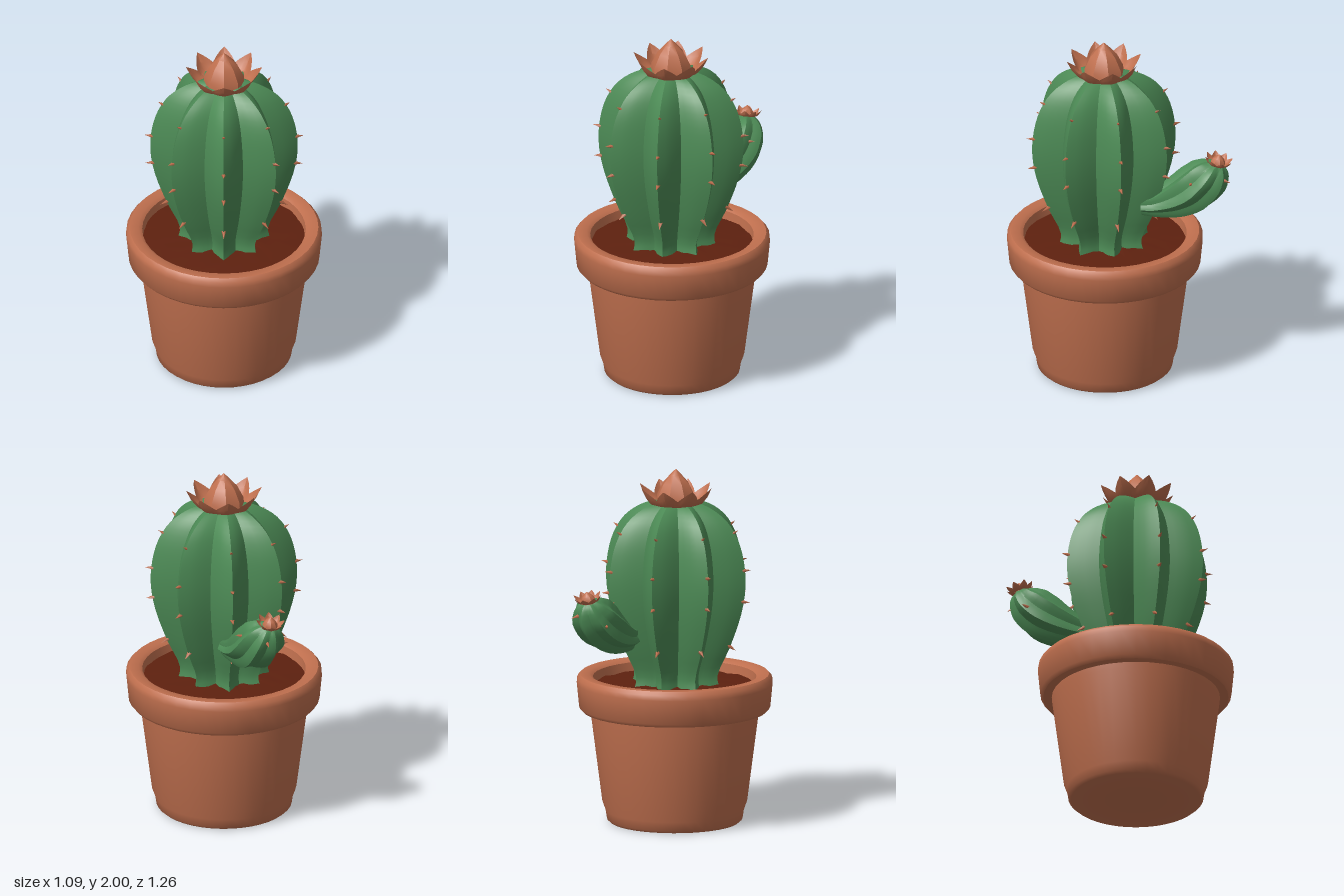
import * as THREE from 'three';
import { toCreasedNormals } from 'three/addons/utils/BufferGeometryUtils.js';

const V = (x, y, z) => new THREE.Vector3(x, y, z);
const CENTRE_Z = 0.083;

// Skin a surface over closed rings of points, ordered from bottom to top
function loft(rings, crease = 0.6) {
  const n = rings[0].length, index = [];
  for (let i = 0; i < rings.length - 1; i++) {
    for (let j = 0; j < n; j++) {
      const k = (j + 1) % n, a = i * n + j, b = i * n + k, c = b + n, d = a + n;
      index.push(a, b, c, a, c, d);
    }
  }
  const g = new THREE.BufferGeometry().setFromPoints(rings.flat());
  g.setIndex(index);
  return toCreasedNormals(g, crease);
}

// Star-shaped section factor: 1 on a rib edge, `valley` in a groove
function ribFactor(j, perRib, valley) {
  const t = Math.abs(1 - 2 * (j % perRib) / perRib);
  return valley + (1 - valley) * Math.pow(t, 1.2);
}

// Ribbed stem that follows a path with a radius at each path point
function ribbedStem(path, radii, ribs, valley) {
  const perRib = 8, n = ribs * perRib;
  const rings = path.map((p, i) => {
    const next = path[Math.min(i + 1, path.length - 1)], prev = path[Math.max(i - 1, 0)];
    const tangent = next.clone().sub(prev).normalize();
    const side = V(1, 0, 0).addScaledVector(tangent, -tangent.x).normalize();
    const front = side.clone().cross(tangent);
    return Array.from({ length: n }, (_, j) => {
      const a = j / n * Math.PI * 2, r = radii[i] * ribFactor(j, perRib, valley);
      return p.clone().addScaledVector(side, Math.sin(a) * r).addScaledVector(front, Math.cos(a) * r);
    });
  });
  return loft(rings);
}

export function createModel() {
  const model = new THREE.Group();
  model.name = 'pottedCactus';
  const terracotta = new THREE.MeshStandardMaterial({ name: 'terracotta', color: 0xbf6f4e, side: THREE.DoubleSide });
  const green = new THREE.MeshStandardMaterial({ name: 'cactusGreen', color: 0x4c8a55 });
  const earth = new THREE.MeshStandardMaterial({ name: 'soil', color: 0x5e210f });

  function add(name, geometry, material, parent = model) {
    const mesh = new THREE.Mesh(geometry, material);
    mesh.name = name;
    parent.add(mesh);
    return mesh;
  }

  // Pot: tapered body, thick rim and inner wall
  const potProfile = [
    [0, 0.005], [0.36, 0.005], [0.377, 0.02], [0.385, 0.07], [0.403, 0.12], [0.465, 0.6], [0.468, 0.635],
    [0.515, 0.635], [0.532, 0.655], [0.545, 0.79], [0.543, 0.82], [0.525, 0.84], [0.475, 0.84],
    [0.455, 0.825], [0.445, 0.74],
  ].map(([r, y]) => new THREE.Vector2(r, y));
  add('pot', toCreasedNormals(new THREE.LatheGeometry(potProfile, 40), 0.75), terracotta).position.z = CENTRE_Z;

  // Soil: gently uneven disc
  const soilRings = [0.46, 0.38, 0.28, 0.15, 0].map((r, i) => Array.from({ length: 32 }, (_, j) => {
    const a = j / 32 * Math.PI * 2;
    return V(Math.sin(a) * r, 0.775 + 0.006 * i + (r ? 0.006 * Math.sin(j * 2.4 + i * 1.7) : 0), Math.cos(a) * r);
  }));
  add('soil', loft(soilRings), earth).position.z = CENTRE_Z;

  // Cactus body: eight sharp ribs
  const cactus = new THREE.Group();
  cactus.name = 'cactus';
  cactus.position.z = CENTRE_Z + 0.007;
  model.add(cactus);
  const profile = new THREE.CatmullRomCurve3([
    [0.26, 0.76], [0.245, 0.84], [0.315, 1.0], [0.385, 1.2], [0.41, 1.36], [0.4, 1.5], [0.365, 1.62],
    [0.3, 1.72], [0.2, 1.79], [0.1, 1.82], [0, 1.82],
  ].map(([r, y]) => V(r, y, 0))).getPoints(30);
  add('cactusBody', ribbedStem(profile.map(p => V(0, p.y, 0)), profile.map(p => Math.max(p.x, 0)), 8, 0.68), green, cactus);

  // Thorns: [height, rib radius, upward tilt]
  const thornShape = new THREE.ConeGeometry(0.014, 0.055, 5);
  function thorn(parent, position, direction) {
    const mesh = add('thorn', thornShape, terracotta, parent);
    mesh.position.copy(position);
    mesh.quaternion.setFromUnitVectors(V(0, 1, 0), direction.normalize());
  }
  for (let rib = 0; rib < 8; rib++) {
    const a = rib * Math.PI / 4, x = Math.sin(a), z = Math.cos(a);
    for (const [y, r, tilt] of [[1.66, 0.345, 0.6], [1.45, 0.415, 0.15], [1.27, 0.41, -0.1], [1.005, 0.33, -0.6]]) {
      thorn(cactus, V(x * r, y, z * r), V(x, tilt, z));
    }
  }

  // Side arm growing from the back
  const arm = [
    [0.02, 1.07, -0.16, 0.06], [-0.03, 1.08, -0.24, 0.085], [-0.08, 1.12, -0.34, 0.12], [-0.12, 1.18, -0.43, 0.138],
    [-0.15, 1.25, -0.495, 0.128], [-0.172, 1.305, -0.53, 0.09], [-0.18, 1.335, -0.543, 0.045], [-0.181, 1.34, -0.545, 0],
  ];
  const armPath = new THREE.CatmullRomCurve3(arm.map(([x, y, z]) => V(x, y, z)));
  const armRadii = new THREE.CatmullRomCurve3(arm.map(p => V(p[3], 0, 0)));
  const steps = Array.from({ length: 22 }, (_, i) => i / 21);
  add('sideArm', ribbedStem(steps.map(t => armPath.getPoint(t)), steps.map(t => Math.max(armRadii.getPoint(t).x, 0)), 7, 0.8), green);
  thorn(model, V(-0.16, 1.25, -0.61), V(-0.1, -0.2, -1));
  thorn(model, V(-0.27, 1.2, -0.47), V(-1, 0.1, -0.3));
  thorn(model, V(-0.02, 1.25, -0.46), V(1, 0.3, -0.3));

  // Flower: cup of eight pointed petals around a bud
  function flower(name, position, scale, budHeight) {
    const group = new THREE.Group();
    group.name = name;
    group.position.copy(position);
    group.scale.setScalar(scale);
    model.add(group);
    // Each ring: [notch radius, notch height, tip radius, tip height]
    const cup = [[0, 0, 0, 0], [0.1, 0, 0.1, 0], [0.14, 0.02, 0.155, 0.022], [0.155, 0.045, 0.185, 0.06], [0.16, 0.052, 0.212, 0.115]];
    const rings = cup.map(([r0, y0, r1, y1]) => Array.from({ length: 48 }, (_, j) => {
      const a = j / 48 * Math.PI * 2, t = Math.abs(1 - 2 * (j % 6) / 6);
      const r = r0 + (r1 - r0) * t, y = y0 + (y1 - y0) * t;
      return V(Math.sin(a) * r, y, Math.cos(a) * r);
    }));
    add('petals', loft(rings), terracotta, group);
    const bud = [[0.115, 0], [0.11, 0.06], [0.075, 0.13], [0.035, 0.175], [0, 0.21]]
      .map(([r, y]) => new THREE.Vector2(r, y * budHeight));
    add('bud', toCreasedNormals(new THREE.LatheGeometry(bud, 8), 0.6), terracotta, group);
    return group;
  }
  flower('topFlower', V(0, 1.79, CENTRE_Z + 0.007), 1, 1);
  flower('armFlower', V(-0.18, 1.33, -0.54), 0.38, 0.8).rotation.set(-0.2, 0, 0.08);

  return model;
}
